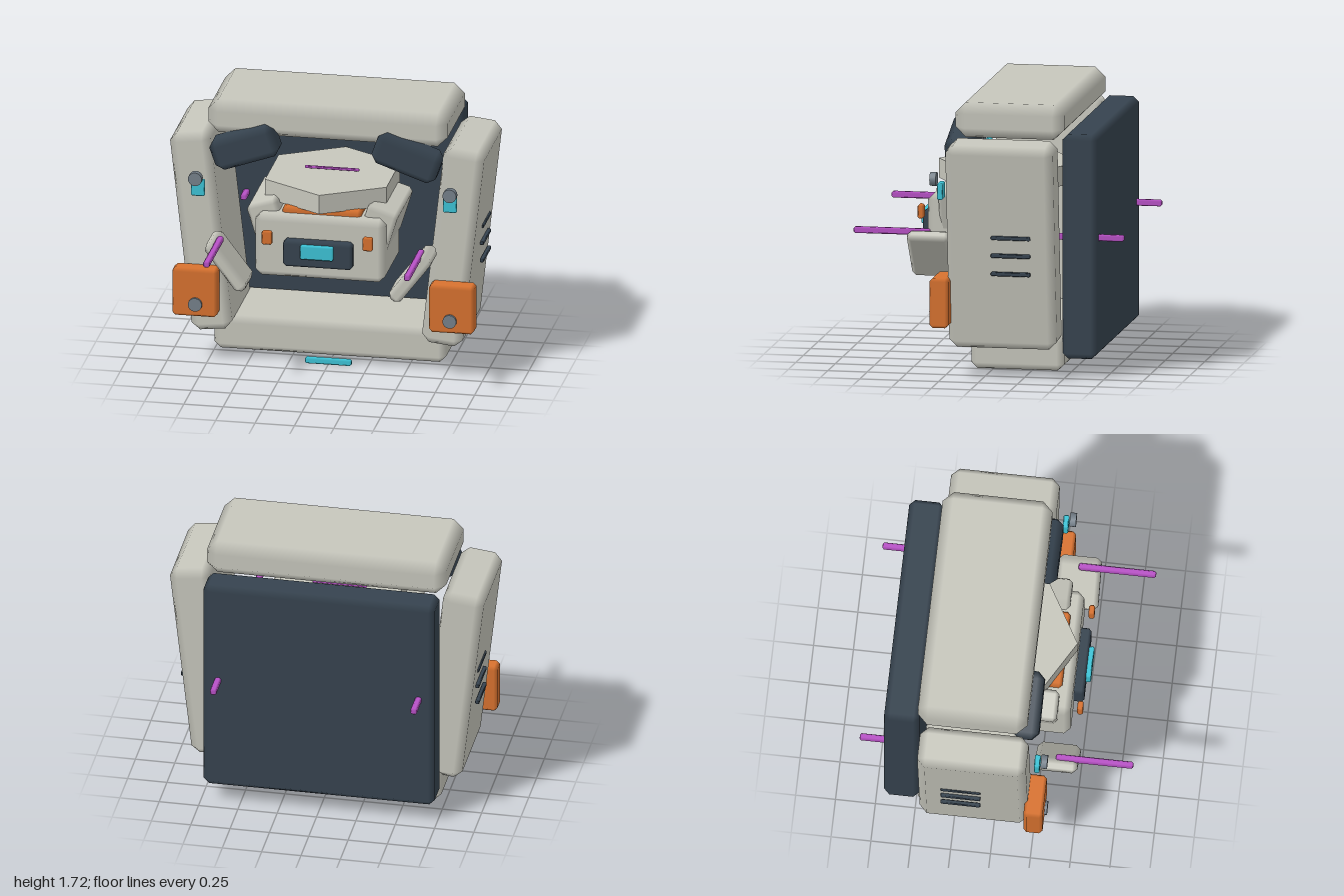
import * as THREE from 'three';
import { ConvexGeometry } from 'three/addons/geometries/ConvexGeometry.js';

const mat = (name, color) => {
  const m = new THREE.MeshStandardMaterial({ color });
  m.name = name;
  return m;
};

// Box with one chamfer per edge; faces stay flat, chamfers shade smoothly
function chamferBox(w, h, d, r) {
  const half = [w / 2, h / 2, d / 2];
  const points = [];
  for (let axis = 0; axis < 3; axis++)
    for (const sx of [-1, 1]) for (const sy of [-1, 1]) for (const sz of [-1, 1]) {
      const s = [sx, sy, sz];
      points.push(new THREE.Vector3(...half.map((v, i) => s[i] * (i === axis ? v : v - r))));
    }
  const geo = new ConvexGeometry(points);
  const pos = geo.attributes.position, normal = geo.attributes.normal;
  for (let i = 0; i < pos.count; i++) {
    const p = [pos.getX(i), pos.getY(i), pos.getZ(i)];
    normal.setXYZ(i, ...p.map((v, k) => (half[k] - Math.abs(v) < r * 0.1 ? Math.sign(v) : 0)));
  }
  return geo;
}

export function createModel() {
  const group = new THREE.Group();
  const grey = mat('lightGrey', 0xc6c6bc);
  const navy = mat('darkSlate', 0x36434f);
  const orange = mat('orange', 0xd8722f);
  const cyan = mat('cyan', 0x3cc3d6);
  const purple = mat('purple', 0xb851c6);
  const steel = mat('steel', 0x75808a);

  const add = (name, geo, material, x, y, z, tilt = 0) => {
    const mesh = new THREE.Mesh(geo, material);
    mesh.name = name;
    mesh.position.set(x, y, z);
    mesh.rotation.z = tilt;
    group.add(mesh);
    return mesh;
  };
  // Chamfered box placed by centre
  const box = (name, material, size, at, r, tilt) =>
    add(name, chamferBox(...size, r), material, ...at, tilt);

  // Outer frame
  box('topBeam', grey, [1.52, 0.22, 0.69], [0, 1.61, -0.145], 0.065);
  box('bottomBeam', grey, [1.47, 0.22, 0.59], [0, 0.15, -0.195], 0.04);
  box('backPanel', navy, [1.47, 1.42, 0.22], [0, 0.83, -0.59], 0.035);
  box('floorLight', cyan, [0.295, 0.04, 0.038], [0, 0.02, 0.125], 0.01);

  // Central head
  box('head', grey, [0.825, 0.41, 0.53], [0, 0.875, 0.17], 0.04);
  box('facePlate', navy, [0.44, 0.17, 0.09], [0, 0.855, 0.455], 0.018);
  box('faceScreen', cyan, [0.21, 0.09, 0.04], [0, 0.88, 0.51], 0.008);
  box('neckBand', orange, [0.5, 0.07, 0.6], [0, 1.08, 0.065], 0.02);
  add('turntable', new THREE.CylinderGeometry(0.445, 0.445, 0.125, 6).toNonIndexed(), grey, 0, 1.1725, -0.01)
    .geometry.computeVertexNormals();
  box('topStrip', purple, [0.345, 0.016, 0.02], [0, 1.257, 0], 0.004);

  // Mirrored parts
  for (const s of [-1, 1]) {
    const side = s > 0 ? 'left' : 'right';
    box(side + 'Wall', grey, [0.26, 1.31, 0.682], [0.8 * s, 0.85, -0.124], 0.05, -0.113 * s);
    box(side + 'Visor', navy, [0.43, 0.21, 0.17], [0.515 * s, 1.44, 0.185], 0.045, -0.34 * s);
    box(side + 'Shoulder', grey, [0.2, 0.3, 0.55], [0.345 * s, 0.985, 0.08], 0.025, -0.3 * s);
    box(side + 'Arm', grey, [0.09, 0.37, 0.27], [0.585 * s, 0.735, 0.375], 0.03, 0.65 * -s);
    box(side + 'Button', orange, [0.065, 0.09, 0.037], [0.32 * s, 0.953, 0.488], 0.01);
    box(side + 'Foot', orange, [0.285, 0.315, 0.12], [0.815 * s, 0.485, 0.26], 0.02);
    box(side + 'Lamp', cyan, [0.088, 0.108, 0.036], [0.8 * s, 1.174, 0.272], 0.008);

    // Round bolts on the wall and foot
    for (const y of [0.413, 1.248])
      add(side + 'Bolt', new THREE.CylinderGeometry(0.044, 0.044, 0.04, 16), steel, 0.808 * s, y, 0.317)
        .rotation.x = Math.PI / 2;

    // Rods at front and back
    for (const z of [0.613, -0.617])
      box(side + 'Rod', purple, [0.04, 0.04, 0.486], [0.637 * s, 0.88, z], 0.01);

    // Vent slots on the outer wall
    for (const y of [0.91, 0.797, 0.682])
      box(side + 'Vent', navy, [0.026, 0.026, 0.25], [0.935 * s, y, -0.195], 0.006);
  }
  return group;
}
